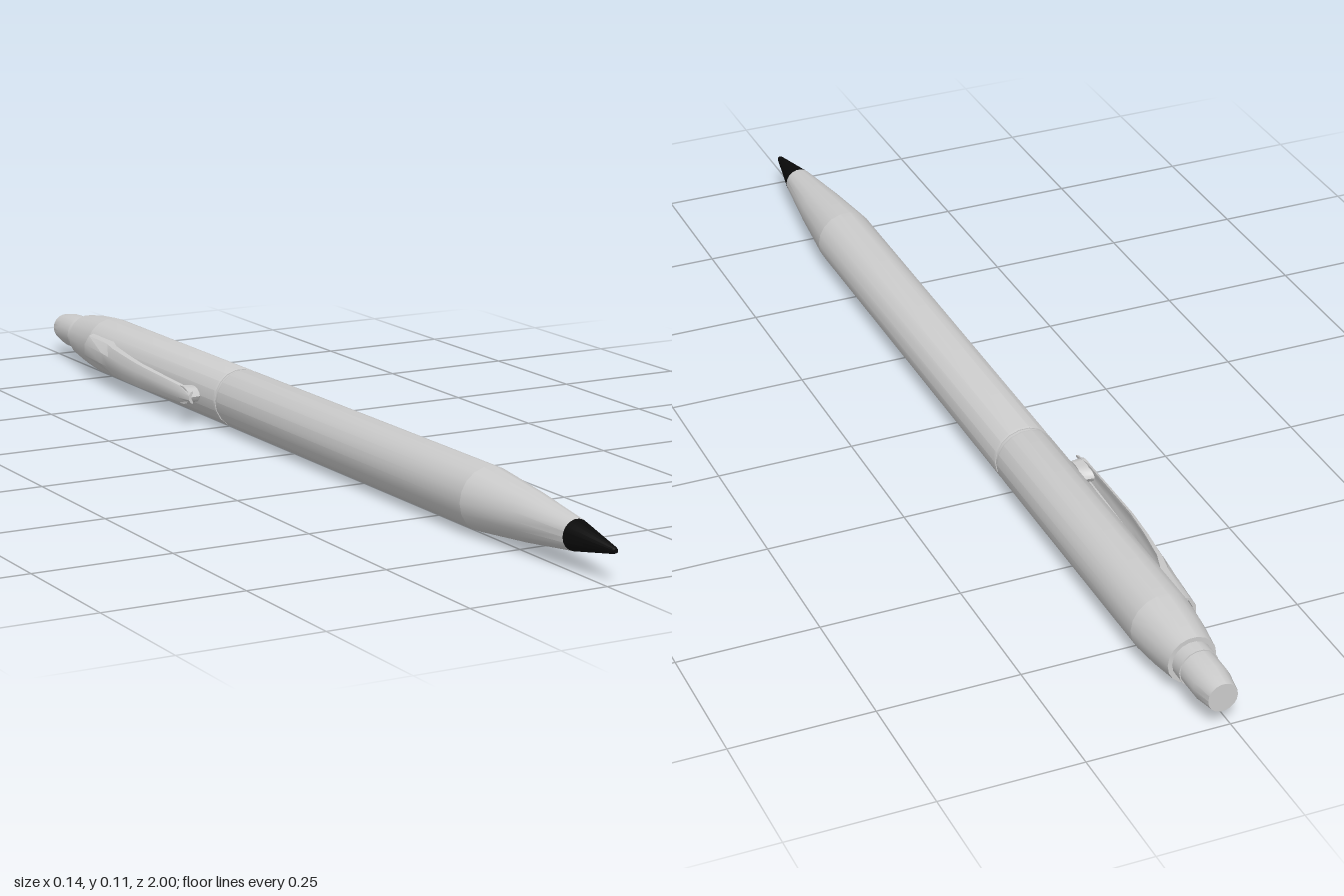
import * as THREE from 'three';
import { toCreasedNormals } from 'three/addons/utils/BufferGeometryUtils.js';

const AXIS_X = 0.015, AXIS_Y = 0.057, SIDES = 18;
const grey = new THREE.MeshStandardMaterial({ color: 0xcccccc });
const greyBoth = new THREE.MeshStandardMaterial({ color: 0xcccccc, side: THREE.DoubleSide });
const black = new THREE.MeshStandardMaterial({ color: 0x0a0a0a });

// Turned part along z; profile is [z, radius] from back to front
function turned(name, profile, material = grey) {
  const points = profile.map(([z, r]) => new THREE.Vector2(r, z));
  const lathe = new THREE.LatheGeometry(points, SIDES, Math.PI / 2);
  lathe.rotateX(Math.PI / 2);
  const mesh = new THREE.Mesh(toCreasedNormals(lathe, 0.4), material);
  mesh.name = name;
  mesh.position.set(AXIS_X, AXIS_Y, 0);
  return mesh;
}

// Thin arched strip lofted through sections: [z, crest x, edge x, half width]
function clipStrip() {
  const sections = [
    [-0.77, -0.051, -0.03, 0.031],
    [-0.68, -0.058, -0.03, 0.031],
    [-0.64, -0.062, -0.043, 0.03],
    [-0.57, -0.068, -0.053, 0.028],
    [-0.5, -0.072, -0.06, 0.025],
    [-0.4, -0.073, -0.062, 0.021],
    [-0.32, -0.073, -0.063, 0.018],
    [-0.28, -0.07, -0.061, 0.012],
  ];
  const arch = [[0, -1], [0.5, -0.88], [1, -0.35], [1, 0.35], [0.5, 0.88], [0, 1]];
  const thickness = 0.006;
  const positions = [], index = [];
  for (const [z, crest, edge, w] of sections) {
    for (const [t, s] of arch) positions.push(edge + (crest - edge) * t, AXIS_Y + s * w, z);
    for (const [t, s] of [...arch].reverse()) {
      positions.push(edge + (crest + thickness - edge) * t, AXIS_Y + s * (w - thickness * 0.7), z);
    }
  }
  const n = arch.length * 2;
  for (let i = 0; i < sections.length - 1; i++) {
    for (let j = 0; j < n; j++) {
      const a = i * n + j, b = i * n + (j + 1) % n;
      index.push(a, a + n, b, b, a + n, b + n);
    }
  }
  // End walls between the outer and inner arch
  const last = (sections.length - 1) * n;
  for (let j = 0; j < arch.length - 1; j++) {
    const k = n - 1 - j;
    index.push(j, j + 1, k, j + 1, k - 1, k);
    index.push(last + j, last + k, last + j + 1, last + j + 1, last + k, last + k - 1);
  }
  const geometry = new THREE.BufferGeometry();
  geometry.setAttribute('position', new THREE.Float32BufferAttribute(positions, 3));
  geometry.setIndex(index);
  const mesh = new THREE.Mesh(toCreasedNormals(geometry, 0.6), greyBoth);
  mesh.name = 'clipStrip';
  return mesh;
}

// Rounded pad under the free end of the clip
function clipFoot() {
  const geometry = new THREE.CylinderGeometry(1, 0.9, 0.024, 14);
  geometry.rotateZ(Math.PI / 2);
  geometry.scale(1, 0.017, 0.031);
  const mesh = new THREE.Mesh(toCreasedNormals(geometry, 0.6), grey);
  mesh.name = 'clipFoot';
  mesh.position.set(-0.056, AXIS_Y, -0.313);
  return mesh;
}

export function createModel() {
  const model = new THREE.Group();
  model.name = 'pen';

  // Writing end
  model.add(turned('tip', [[0.89, 0.0265], [0.995, 0.006], [1, 0.004], [1, 0]], black));
  model.add(turned('frontTaper', [[0.63, 0.056], [0.76, 0.043], [0.89, 0.0265]]));

  // Barrel halves with a narrow seam between them
  model.add(turned('lowerBarrel', [[-0.228, 0.052], [-0.228, 0.055], [-0.224, 0.056], [0.63, 0.056]]));
  model.add(turned('seam', [[-0.236, 0.0535], [-0.227, 0.0535]]));
  model.add(turned('upperBarrel', [[-0.78, 0.056], [-0.239, 0.056], [-0.235, 0.055], [-0.235, 0.052]]));
  model.add(turned('rearTaper', [[-0.89, 0.03], [-0.89, 0.043], [-0.835, 0.051], [-0.78, 0.056]]));

  // Push button
  model.add(turned('buttonCollar', [[-0.915, 0.03], [-0.915, 0.035], [-0.885, 0.035]]));
  model.add(turned('button', [[-1, 0], [-1, 0.026], [-0.96, 0.033], [-0.91, 0.033]]));

  // Pocket clip
  const clip = new THREE.Group();
  clip.name = 'clip';
  clip.add(clipStrip(), clipFoot());
  model.add(clip);

  return model;
}
